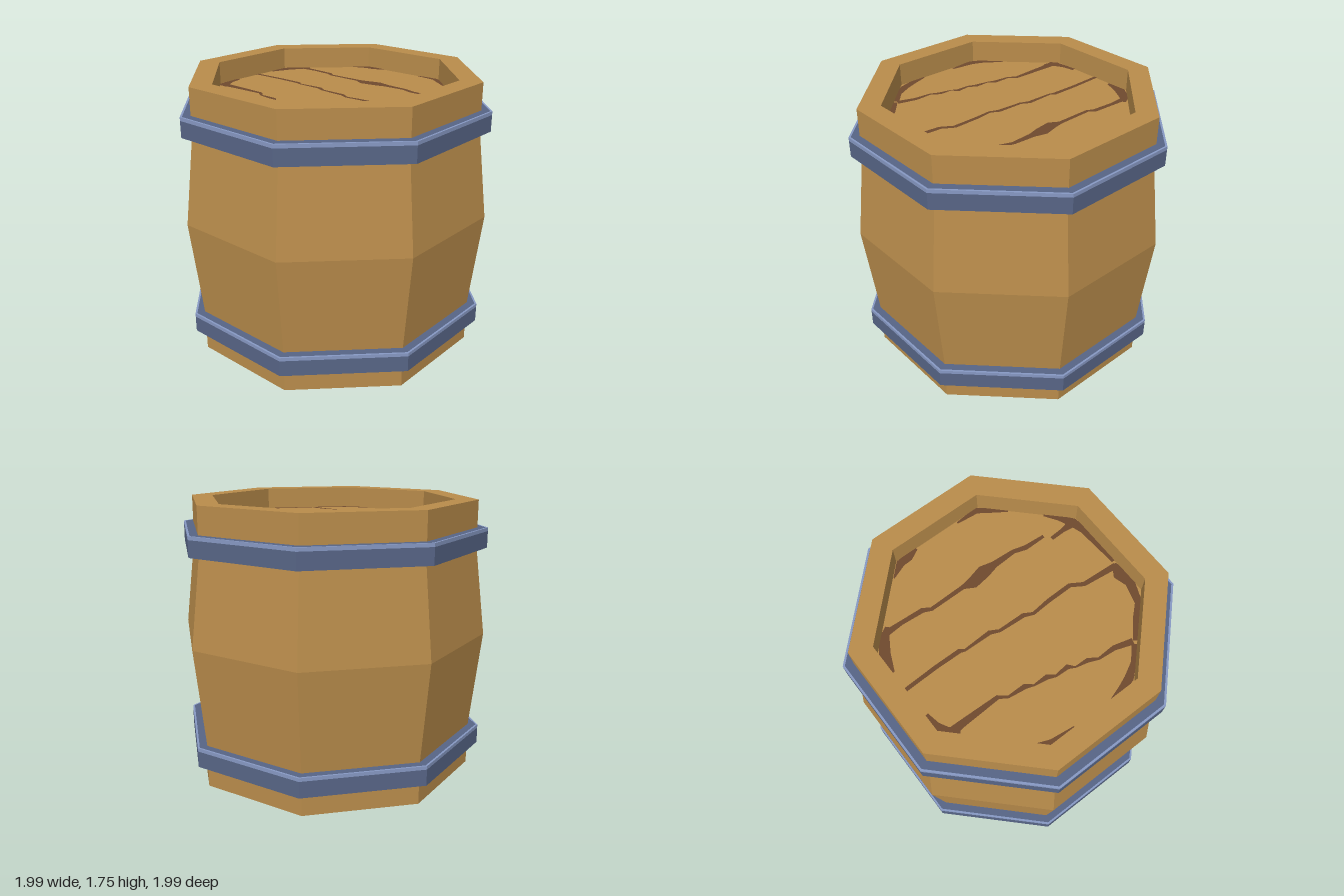
import * as THREE from 'three';

const mat = (name, color, side = THREE.FrontSide) => {
  const m = new THREE.MeshStandardMaterial({ color, side });
  m.name = name;
  return m;
};

// Eight-sided turned part with hard facets; corners lie on the x and z axes
function turned(name, profile, material) {
  const lathe = new THREE.LatheGeometry(profile.map(([r, y]) => new THREE.Vector2(r, y)), 8);
  const geo = lathe.toNonIndexed();
  geo.computeVertexNormals();
  const mesh = new THREE.Mesh(geo, material);
  mesh.name = name;
  return mesh;
}

// Flat ribbon through [x, z, halfWidth] points
function ribbon(points) {
  const a = [], b = [];
  points.forEach(([x, z, w], i) => {
    const p = points[Math.max(i - 1, 0)], q = points[Math.min(i + 1, points.length - 1)];
    const dx = q[0] - p[0], dz = q[1] - p[1], l = Math.hypot(dx, dz);
    a.push(new THREE.Vector2(x - dz / l * w, z + dx / l * w));
    b.unshift(new THREE.Vector2(x + dz / l * w, z - dx / l * w));
  });
  return new THREE.ShapeGeometry(new THREE.Shape([...a, ...b])).rotateX(Math.PI / 2);
}

// Gaps between the lid planks
const cracks = [
  [[-0.43, -0.59, 0.022], [-0.32, -0.545, 0.014], [-0.19, -0.48, 0.016], [-0.16, -0.44, 0.012], [0.05, -0.355, 0.014],
    [0.1, -0.32, 0.036], [0.2, -0.3, 0.042], [0.27, -0.27, 0.022], [0.4, -0.215, 0.014], [0.46, -0.165, 0.016], [0.58, -0.11, 0.01]],
  [[0.59, -0.06, 0.012], [0.67, -0.03, 0.014], [0.75, 0, 0.03]],
  [[-0.66, -0.31, 0.012], [-0.45, -0.23, 0.013], [-0.3, -0.165, 0.014], [-0.28, -0.14, 0.008], [-0.12, -0.075, 0.014],
    [-0.08, -0.03, 0.01], [0.07, 0.04, 0.014], [0.11, 0.085, 0.01], [0.22, 0.12, 0.013], [0.37, 0.18, 0.014],
    [0.42, 0.25, 0.014], [0.62, 0.355, 0.02]],
  [[-0.76, 0.03, 0.03], [-0.65, 0.07, 0.022], [-0.43, 0.16, 0.013], [-0.4, 0.21, 0.008], [-0.3, 0.26, 0.016],
    [-0.27, 0.3, 0.006], [-0.19, 0.34, 0.016], [-0.16, 0.38, 0.008], [-0.08, 0.41, 0.015], [-0.06, 0.45, 0.005],
    [0.01, 0.49, 0.014], [0.05, 0.54, 0.008], [0.15, 0.585, 0.016], [0.24, 0.66, 0.02]],
];
// Worn patches around the lid edge
const stains = [
  [[-0.1, -0.735, 0.004], [0, -0.755, 0.026], [0.06, -0.735, 0.026], [0.13, -0.725, 0.008]],
  [[-0.595, -0.42, 0.008], [-0.53, -0.52, 0.034], [-0.45, -0.575, 0.03], [-0.38, -0.6, 0.012]],
  [[0.4, -0.605, 0.006], [0.53, -0.55, 0.02], [0.58, -0.47, 0.018], [0.625, -0.38, 0.006]],
  [[0.705, -0.18, 0.006], [0.735, -0.09, 0.018], [0.75, 0, 0.03], [0.735, 0.08, 0.022], [0.64, 0.33, 0.012]],
  [[0.625, 0.34, 0.012], [0.585, 0.4, 0.045], [0.56, 0.48, 0.03], [0.47, 0.58, 0.022], [0.37, 0.615, 0.02], [0.25, 0.67, 0.014]],
  [[-0.16, 0.71, 0.006], [-0.05, 0.735, 0.022], [0.03, 0.74, 0.026], [0.13, 0.72, 0.016], [0.23, 0.675, 0.018]],
  [[-0.625, 0.36, 0.006], [-0.575, 0.48, 0.022], [-0.51, 0.55, 0.026], [-0.37, 0.61, 0.008]],
  [[-0.715, -0.13, 0.014], [-0.735, -0.05, 0.018], [-0.745, 0.02, 0.035], [-0.7, 0.08, 0.012]],
];

export function createModel() {
  const wood = mat('wood', 0xb98c4b);
  const darkWood = mat('darkWood', 0x6f4a2e, THREE.DoubleSide);
  const iron = mat('iron', 0x576586);
  const ironEdge = mat('ironEdge', 0x8799c4);

  const model = new THREE.Group();
  model.name = 'barrel';
  const H = 1.745, recess = 0.14;

  // Body with raised rims and recessed lids at both ends
  model.add(turned('body', [
    [0, recess], [0.785, recess], [0.785, 0], [0.925, 0], [0.925, 0.26], [0.995, 0.895],
    [0.925, 1.46], [0.925, H], [0.785, H], [0.785, H - recess], [0, H - recess],
  ], wood));

  // Hoops with a bright upper edge
  [['lowerHoop', 0.145], ['upperHoop', 1.45]].forEach(([name, y]) => {
    const hoop = new THREE.Group();
    hoop.name = name;
    hoop.add(
      turned('hoopSide', [[0.9, y], [0.99, y], [0.99, y + 0.103]], iron),
      turned('hoopEdge', [[0.99, y + 0.103], [0.99, y + 0.125], [0.977, y + 0.125]], ironEdge),
      turned('hoopTop', [[0.977, y + 0.125], [0.9, y + 0.125]], iron),
    );
    model.add(hoop);
  });

  // Plank gaps and wear, the same on both lids
  [['topLidMarks', H - recess + 0.004], ['bottomLidMarks', recess - 0.004]].forEach(([name, y]) => {
    const marks = new THREE.Group();
    marks.name = name;
    marks.position.y = y;
    [...cracks, ...stains].forEach((points, i) => {
      const mesh = new THREE.Mesh(ribbon(points), darkWood);
      mesh.name = i < cracks.length ? 'plankGap' : 'wornEdge';
      marks.add(mesh);
    });
    model.add(marks);
  });

  return model;
}
